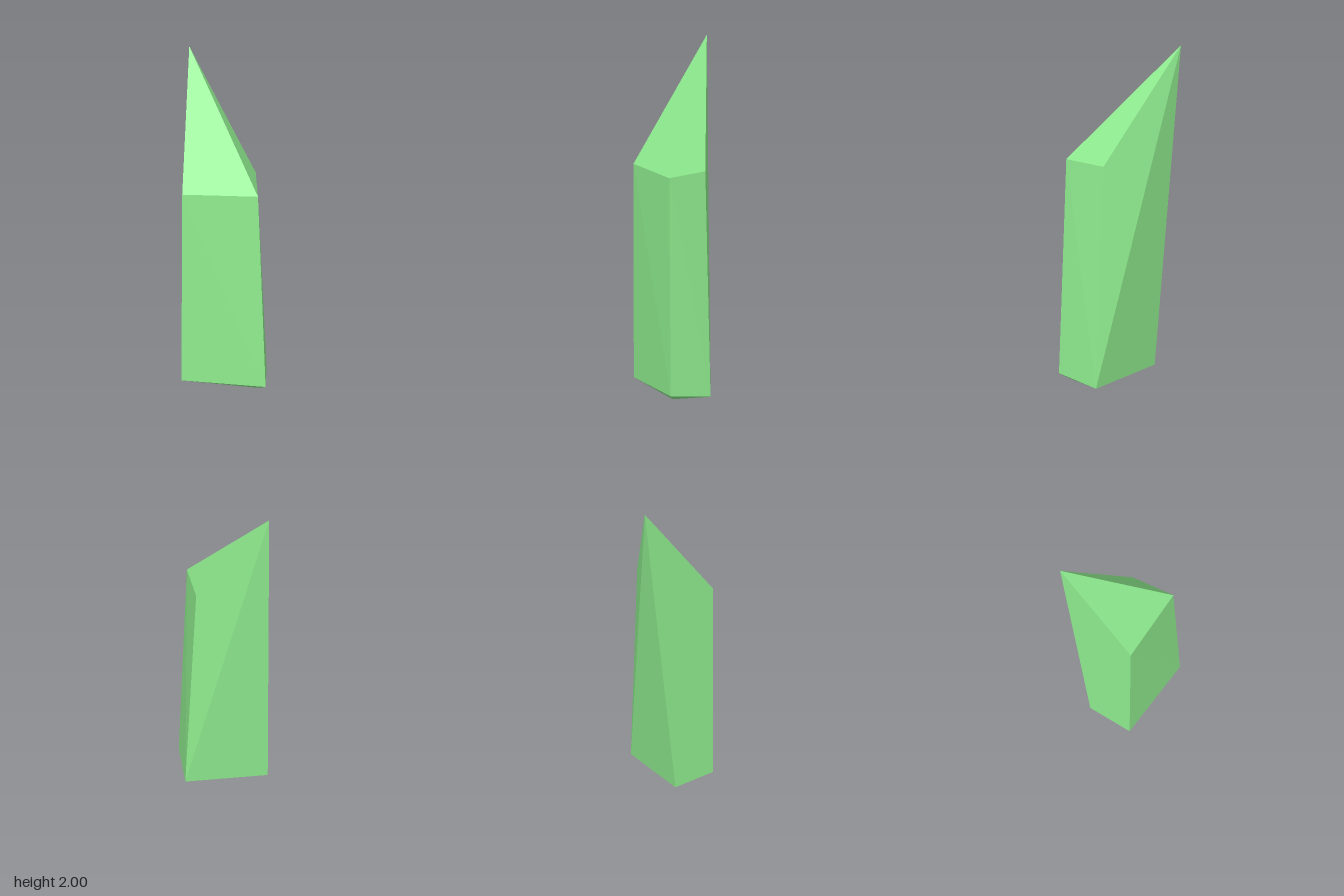
import * as THREE from 'three';
import { ConvexGeometry } from 'three/addons/geometries/ConvexGeometry.js';

export function createModel() {
  const group = new THREE.Group();
  group.name = 'crystalShard';

  const corners = [
    // slanted tip
    [-0.24, 2, -0.25],
    // shoulder where the tip meets the shaft
    [-0.235, 1.3, 0.23], [0.2, 1.315, 0.235], [0.163, 1.315, -0.02],
    // lower end of the shaft
    [0.245, 0.04, 0.25], [-0.24, 0.04, 0.225], [-0.245, 0.04, -0.04],
    // tilted base with one chipped corner
    [0.225, 0, -0.02], [0.2, 0.008, 0.212],
  ].map((p) => new THREE.Vector3(...p));

  // flat facets spanning the corners
  const shard = new THREE.Mesh(
    new ConvexGeometry(corners),
    new THREE.MeshStandardMaterial({ color: 0x90ee90, flatShading: true })
  );
  shard.name = 'shard';
  group.add(shard);
  return group;
}
